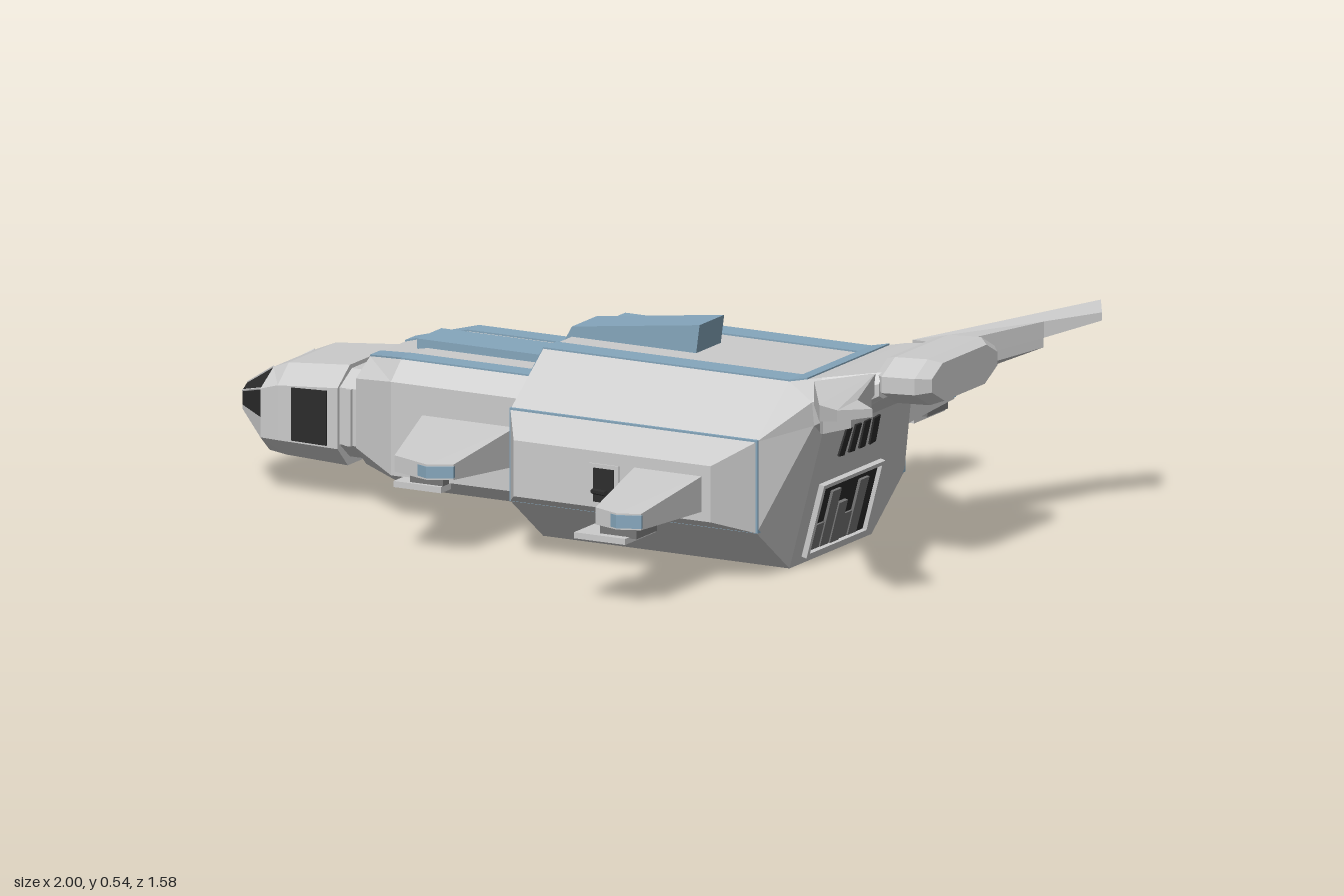
import * as THREE from 'three';

const mat = (color) => new THREE.MeshStandardMaterial({ color, flatShading: true, side: THREE.DoubleSide });

export function createModel() {
  const model = new THREE.Group();
  const body = new THREE.Group();
  body.name = 'body';
  body.position.z = 0.01;
  model.add(body);
  const grey = mat(0xcccccc), blue = mat(0x85a6bc), dark = mat(0x2c2c2c), mid = mat(0x777777);

  function add(name, geo, material = grey, parent = body) {
    const m = new THREE.Mesh(geo, material);
    m.name = name;
    parent.add(m);
    return m;
  }
  function box(name, x0, x1, y0, y1, z0, z1, material, parent) {
    const g = new THREE.BoxGeometry(Math.abs(x1 - x0), Math.abs(y1 - y0), Math.abs(z1 - z0));
    g.translate((x0 + x1) / 2, (y0 + y1) / 2, (z0 + z1) / 2);
    return add(name, g, material, parent);
  }
  function build(pos, idx) {
    let g = new THREE.BufferGeometry();
    g.setAttribute('position', new THREE.Float32BufferAttribute(pos.flat(), 3));
    g.setIndex(idx);
    g = g.toNonIndexed();
    g.computeVertexNormals();
    return g;
  }
  // Skin mirrored half sections [x, [y, z]...] listed from bottom to top, x growing.
  function loft(sections) {
    const rings = sections.map(([x, ...half]) => {
      const side = half.map(([y, z, dx = 0]) => [x + dx, y, z]);
      return [...side, ...side.map(([a, y, z]) => [a, y, -z]).reverse()];
    });
    const n = rings[0].length, idx = [], last = (rings.length - 1) * n;
    for (let i = 0; i < rings.length - 1; i++) {
      for (let j = 0; j < n; j++) {
        const a = i * n + j, b = i * n + (j + 1) % n;
        idx.push(a, a + n, b, b, a + n, b + n);
      }
    }
    for (let j = 1; j < n - 1; j++) idx.push(0, j, j + 1, last, last + j + 1, last + j);
    return build(rings.flat(), idx);
  }
  // Plate from a plan outline whose corners are [x, z, bottom y, top y].
  function slab(outline, side = 1) {
    let pts = outline.map(([x, z, b, t]) => [x, z * side, b, t]);
    const flat = (p) => p.map(([x, z]) => new THREE.Vector2(x, z));
    if (THREE.ShapeUtils.isClockWise(flat(pts))) pts = pts.reverse();
    const n = pts.length, idx = [];
    const pos = [...pts.map(([x, z, b]) => [x, b, z]), ...pts.map(([x, z, , t]) => [x, t, z])];
    for (const [a, b, c] of THREE.ShapeUtils.triangulateShape(flat(pts), [])) {
      idx.push(a, b, c, n + a, n + c, n + b);
    }
    for (let i = 0; i < n; i++) {
      const k = (i + 1) % n;
      idx.push(i, n + i, k, k, n + i, n + k);
    }
    return build(pos, idx);
  }
  function bar(name, a, b, r, material = grey) {
    const A = new THREE.Vector3(...a), d = new THREE.Vector3(...b).sub(A);
    const m = add(name, new THREE.CylinderGeometry(r, r, d.length(), 6), material);
    m.position.copy(A).addScaledVector(d, 0.5);
    m.quaternion.setFromUnitVectors(new THREE.Vector3(0, 1, 0), d.normalize());
  }

  // Hull: forward cabin, wide cargo bay, rising tail
  const cabin = [[0.06, 0.15], [0.11, 0.24], [0.34, 0.24], [0.385, 0.19]];
  const bay = [[0, 0.2], [0.12, 0.36], [0.345, 0.36], [0.46, 0.2]];
  add('hull', loft([
    [-0.63, [0.1, 0.13], [0.15, 0.18], [0.32, 0.18], [0.36, 0.11]],
    [-0.5, ...cabin], [-0.15, ...cabin], [-0.105, ...bay], [0.57, ...bay],
    [0.66, [0.34, 0.2], [0.37, 0.24], [0.43, 0.25], [0.48, 0.2]],
    [0.81, [0.44, 0.17], [0.45, 0.19], [0.48, 0.19], [0.505, 0.17]],
  ]));

  // Neck, cockpit and glazed nose
  add('neck', loft([-0.7, -0.62].map((x) => [x, [0.11, 0.12], [0.15, 0.17], [0.29, 0.17], [0.325, 0.11]])));
  box('neckRing', -0.662, -0.645, 0.15, 0.29, -0.178, 0.178);
  add('cockpit', loft([
    [-0.9, [0.1, 0.12], [0.14, 0.165], [0.26, 0.165], [0.3, 0.1]],
    [-0.85, [0.095, 0.125], [0.14, 0.17], [0.275, 0.17], [0.32, 0.115]],
    [-0.68, [0.09, 0.13], [0.14, 0.18], [0.29, 0.18], [0.335, 0.12]],
  ]));
  add('canopy', loft([
    [-1, [0.19, 0.075], [0.225, 0.075], [0.24, 0.05]],
    [-0.9, [0.19, 0.165], [0.26, 0.165], [0.3, 0.1]],
  ]), dark);
  add('chin', loft([
    [-1, [0.17, 0.06], [0.18, 0.075], [0.19, 0.075]],
    [-0.9, [0.1, 0.12], [0.14, 0.165], [0.19, 0.165]],
  ]));
  for (const s of [1, -1]) {
    bar('canopyStrut', [-0.998, 0.24, s * 0.05], [-0.9, 0.3, s * 0.1], 0.003);
    bar('canopyStrut', [-0.998, 0.225, s * 0.075], [-0.9, 0.26, s * 0.165], 0.003);
    add('cockpitWindow', slab([[-0.81, 0.16, 0.145, 0.275], [-0.81, 0.176, 0.145, 0.275],
      [-0.71, 0.182, 0.145, 0.28], [-0.71, 0.16, 0.145, 0.28]], s), dark);
  }

  // Dorsal spine: low front strip and rising fairing
  box('spineFront', -0.53, -0.14, 0.38, 0.405, -0.06, 0.06, blue);
  const spine = new THREE.Shape([[-0.15, 0.38], [-0.15, 0.405], [-0.105, 0.485], [0.245, 0.53],
    [0.235, 0.455], [-0.1, 0.455]].map((p) => new THREE.Vector2(...p)));
  const spineGeo = new THREE.ExtrudeGeometry(spine, { depth: 0.12, bevelEnabled: false });
  add('spineFairing', spineGeo.translate(0, 0, -0.06), blue);

  // Roof stripes following the hull steps
  const strip = (pts, s) => add('roofStripe', slab(pts.map(([x, z, y]) => [x, z, y - 0.01, y + 0.004]), s), blue);
  for (const s of [1, -1]) {
    strip([[-0.63, 0.06, 0.36], [-0.63, 0.11, 0.36], [-0.5, 0.19, 0.385], [-0.5, 0.135, 0.385]], s);
    strip([[-0.5, 0.135, 0.385], [-0.5, 0.19, 0.385], [-0.15, 0.19, 0.385], [-0.15, 0.135, 0.385]], s);
    strip([[-0.15, 0.135, 0.385], [-0.15, 0.19, 0.385], [-0.105, 0.2, 0.46], [-0.105, 0.135, 0.46]], s);
    strip([[-0.105, 0.135, 0.46], [-0.105, 0.2, 0.46], [0.57, 0.2, 0.46], [0.57, 0.135, 0.46]], s);
  }
  strip([[0.57, -0.2, 0.46], [0.57, 0.2, 0.46], [0.62, 0.2, 0.471], [0.62, -0.2, 0.471]], 1);

  for (const s of [1, -1]) {
    // Side sponson: tapered block outside a coloured band
    box('sponsonBand', -0.107, 0.573, 0.12, 0.349, s * 0.335, s * 0.362, blue);
    const sponson = [[-0.105, 0.36, 0.12, 0.345], [0.57, 0.36, 0.12, 0.345],
      [0.5, 0.46, 0.16, 0.298], [-0.04, 0.46, 0.16, 0.298]];
    add('sponson', slab(sponson, s));

    // Front wing with coloured tip and gun
    add('frontWing', slab([[-0.42, 0.22, 0.17, 0.27], [-0.33, 0.525, 0.2, 0.24], [-0.22, 0.562, 0.2, 0.238],
      [-0.165, 0.53, 0.2, 0.238], [-0.16, 0.22, 0.17, 0.27]], s));
    add('frontWingTip', slab([[-0.32, 0.52, 0.205, 0.233], [-0.22, 0.566, 0.205, 0.233],
      [-0.163, 0.534, 0.205, 0.233], [-0.17, 0.5, 0.205, 0.233]], s), blue);
    box('frontGun', -0.33, -0.2, 0.163, 0.178, s * 0.48, s * 0.53);
    box('frontGunMount', -0.29, -0.2, 0.175, 0.21, s * 0.49, s * 0.52, mid);

    // Rear wing, centred on the whole model
    add('rearWing', slab([[0.28, 0.42, 0.18, 0.275], [0.35, 0.765, 0.2, 0.242], [0.42, 0.787, 0.2, 0.24],
      [0.475, 0.765, 0.2, 0.24], [0.475, 0.42, 0.18, 0.275]], s), grey, model);
    add('rearWingTip', slab([[0.355, 0.76, 0.204, 0.236], [0.42, 0.79, 0.204, 0.236],
      [0.478, 0.767, 0.204, 0.236], [0.47, 0.74, 0.204, 0.236]], s), blue, model);
    box('rearGun', 0.3, 0.44, 0.163, 0.178, s * 0.63, s * 0.78, grey, model);
    box('rearGunMount', 0.36, 0.46, 0.175, 0.21, s * 0.66, s * 0.76, mid, model);

    // Swept tail fin with a lower strake
    add('tailFin', slab([[0.66, 0.24, 0.42, 0.48], [0.84, 0.535, 0.465, 0.505], [0.95, 0.643, 0.5, 0.528],
      [1, 0.56, 0.5, 0.52], [0.9, 0.455, 0.468, 0.508], [0.79, 0.17, 0.45, 0.5]], s));
    add('tailStrake', slab([[0.67, 0.23, 0.35, 0.44], [0.85, 0.535, 0.435, 0.47],
      [0.89, 0.47, 0.44, 0.47], [0.79, 0.19, 0.42, 0.46]], s));
  }

  // Engine pod at the tail
  const pod = (x, k, dy) => [x, ...[[-0.055, 0.12], [-0.015, 0.195], [0.025, 0.195], [0.06, 0.13]]
    .map(([y, z]) => [0.48 + dy + y * k, z * k])];
  add('enginePod', loft([pod(0.79, 0.85, -0.005), pod(0.82, 1, -0.005), pod(0.91, 1, 0), pod(0.938, 0.82, 0)]));

  // Rear ramp opening and vents on the sloped back face
  const ramp = new THREE.Group();
  ramp.name = 'rearRamp';
  ramp.position.set(0.57, 0, 0);
  ramp.rotation.z = -Math.atan2(0.09, 0.34);
  body.add(ramp);
  box('rampOpening', -0.01, 0.003, 0.03, 0.2, -0.14, 0.14, dark, ramp);
  for (const s of [1, -1]) box('rampPost', -0.01, 0.014, 0.02, 0.21, s * 0.138, s * 0.15, grey, ramp);
  for (const y of [0.02, 0.2]) box('rampRail', -0.01, 0.014, y, y + 0.01, -0.15, 0.15, grey, ramp);
  for (let i = 0; i < 5; i++) {
    const z = 0.13 - i * 0.045, h = 0.1 + 0.04 * ((i * 2) % 3);
    box('cargo', 0, 0.008 + 0.002 * (i % 3), 0.035, h, z, z - 0.042, mid, ramp);
  }
  for (let i = 0; i < 4; i++) {
    const vent = box('vent', -0.01, 0.005, -0.036, 0.036, -0.014, 0.014, dark, ramp);
    vent.position.set(0, 0.305, 0.072 - i * 0.048);
    vent.rotation.x = (i - 1.5) * 0.08;
  }

  // Side hatch with a door gun
  box('hatchFrame', 0.17, 0.25, 0.165, 0.268, 0.45, 0.464);
  box('hatch', 0.182, 0.238, 0.175, 0.258, 0.455, 0.467, dark);
  bar('doorGun', [0.18, 0.2, 0.465], [0.23, 0.205, 0.49], 0.007, dark);

  return model;
}
